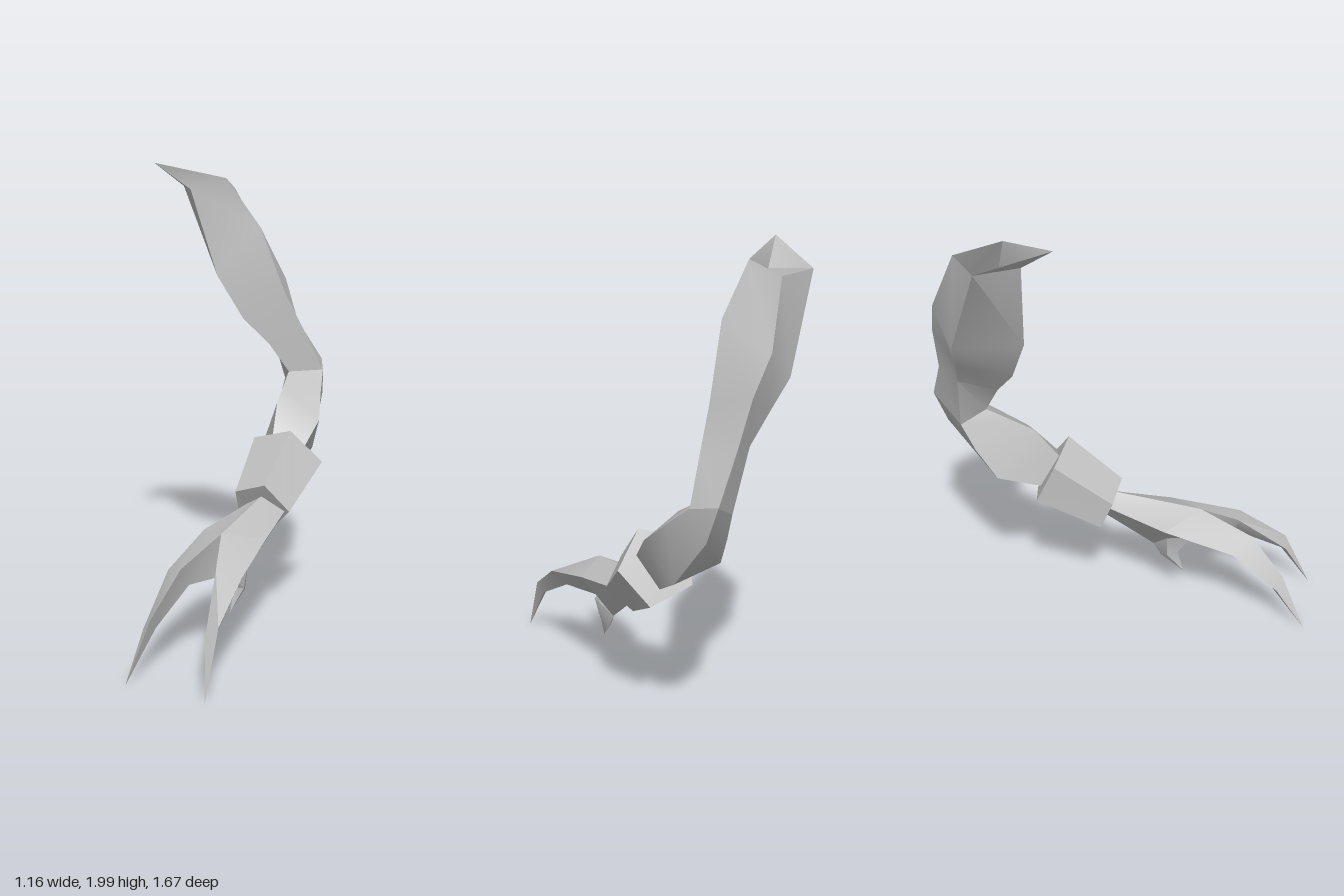
import * as THREE from 'three';
import { toCreasedNormals } from 'three/addons/utils/BufferGeometryUtils.js';

const grey = new THREE.MeshStandardMaterial({ color: 0xc0c0c0, side: THREE.DoubleSide });
grey.name = 'plain grey';

// Skins a list of rings (counter-clockwise along the direction of travel).
// A one-point ring makes a tip; caps close the first and last ring.
function loft(name, rings, { caps = false, crease = 0.6 } = {}) {
  const pos = [];
  const same = (p, q) => p.every((v, i) => Math.abs(v - q[i]) < 1e-6);
  const tri = (a, b, c) => {
    if (!same(a, b) && !same(b, c) && !same(a, c)) pos.push(...a, ...b, ...c);
  };
  const n = rings[0].length;
  for (let r = 0; r < rings.length - 1; r++) {
    for (let i = 0; i < n; i++) {
      const at = (ring, k) => ring[k % ring.length];
      const a = at(rings[r], i), d = at(rings[r], i + 1);
      const b = at(rings[r + 1], i), c = at(rings[r + 1], i + 1);
      tri(a, b, c);
      tri(a, c, d);
    }
  }
  if (caps) {
    const first = rings[0], last = rings[rings.length - 1];
    for (let i = 1; i < n - 1; i++) {
      tri(first[0], first[i], first[i + 1]);
      tri(last[0], last[i + 1], last[i]);
    }
  }
  const geometry = new THREE.BufferGeometry();
  geometry.setAttribute('position', new THREE.Float32BufferAttribute(pos, 3));
  geometry.computeVertexNormals();
  const mesh = new THREE.Mesh(toCreasedNormals(geometry, crease), grey);
  mesh.name = name;
  return mesh;
}

export function createModel() {
  const model = new THREE.Group();
  model.name = 'clawedArm';

  // Upper arm: open at the shoulder, front corner drawn out to a point.
  // Corners of each ring: inner, back, outer, front.
  const shoulder = [[-0.32, 1.93, -0.35], [-0.42, 1.88, -0.52], [-0.58, 1.89, -0.34]];
  const elbow = [[-0.045, 1.03, -0.73], [-0.14, 1.06, -0.84], [-0.22, 0.98, -0.66], [-0.13, 1.03, -0.58]];
  model.add(loft('upperArm', [
    [...shoulder, [-0.48, 2.0, -0.05]],
    [...shoulder, [-0.42, 1.88, -0.22]],
    [[-0.2, 1.71, -0.45], [-0.36, 1.61, -0.67], [-0.46, 1.49, -0.53], [-0.31, 1.49, -0.28]],
    [[-0.14, 1.4, -0.56], [-0.28, 1.45, -0.73], [-0.375, 1.365, -0.57], [-0.24, 1.29, -0.38]],
    [[-0.09, 1.21, -0.65], [-0.22, 1.25, -0.75], [-0.29, 1.24, -0.62], [-0.18, 1.17, -0.49]],
    elbow,
  ]));

  // Forearm, running into the cuff
  model.add(loft('forearm', [
    elbow,
    [[0.03, 0.94, -0.62], [-0.1, 0.91, -0.8], [-0.21, 0.86, -0.6], [-0.085, 0.975, -0.485]],
    [[0.11, 0.84, -0.51], [0, 0.68, -0.6], [-0.2, 0.73, -0.5], [-0.04, 0.92, -0.39]],
    [[0.13, 0.73, -0.37], [0.04, 0.6, -0.43], [-0.08, 0.66, -0.35], [0.01, 0.78, -0.3]],
  ]));

  // Five-sided wrist cuff
  model.add(loft('wristCuff', [
    [[-0.08, 0.77, -0.28], [0.115, 0.825, -0.3], [0.21, 0.68, -0.41], [0.08, 0.53, -0.45], [-0.105, 0.59, -0.36]],
    [[0.02, 0.58, -0.04], [0.17, 0.63, -0.06], [0.245, 0.51, -0.14], [0.13, 0.41, -0.17], [0, 0.455, -0.09]],
  ], { caps: true, crease: 0.2 }));

  // Palm: shared corners where the claws begin
  const left = [0.06, 0.47, 0.2], crotch = [0.25, 0.51, 0.3];
  const right = [0.34, 0.47, 0.12], under = [0.26, 0.33, 0.26];
  model.add(loft('palm', [
    [[0.06, 0.53, -0.09], [0.13, 0.575, -0.1], [0.22, 0.51, -0.14], [0.14, 0.44, -0.15]],
    [left, crotch, right, [0.2, 0.29, 0.09]],
    [left, crotch, right, under],
  ]));

  // Two long claws
  model.add(loft('innerClaw', [
    [left, crotch, under],
    [[0.14, 0.38, 0.5], [0.26, 0.42, 0.55], [0.23, 0.33, 0.47]],
    [[0.2, 0.2, 0.7], [0.25, 0.25, 0.71], [0.23, 0.2, 0.66]],
    [[0.23, 0.01, 0.83]],
  ]));
  model.add(loft('outerClaw', [
    [crotch, right, under],
    [[0.36, 0.42, 0.45], [0.47, 0.4, 0.42], [0.4, 0.33, 0.42]],
    [[0.49, 0.23, 0.65], [0.54, 0.27, 0.63], [0.51, 0.22, 0.62]],
    [[0.58, 0.01, 0.75]],
  ]));

  // Short thumb spur below the palm
  model.add(loft('thumbSpur', [
    [[0.28, 0.35, 0.17], [0.2, 0.29, 0.09], [0.17, 0.36, 0.17], [0.25, 0.34, 0.26]],
    [[0.25, 0.24, 0.16], [0.22, 0.22, 0.12], [0.2, 0.24, 0.16], [0.23, 0.25, 0.2]],
    [[0.235, 0.15, 0.23]],
  ]));

  return model;
}
